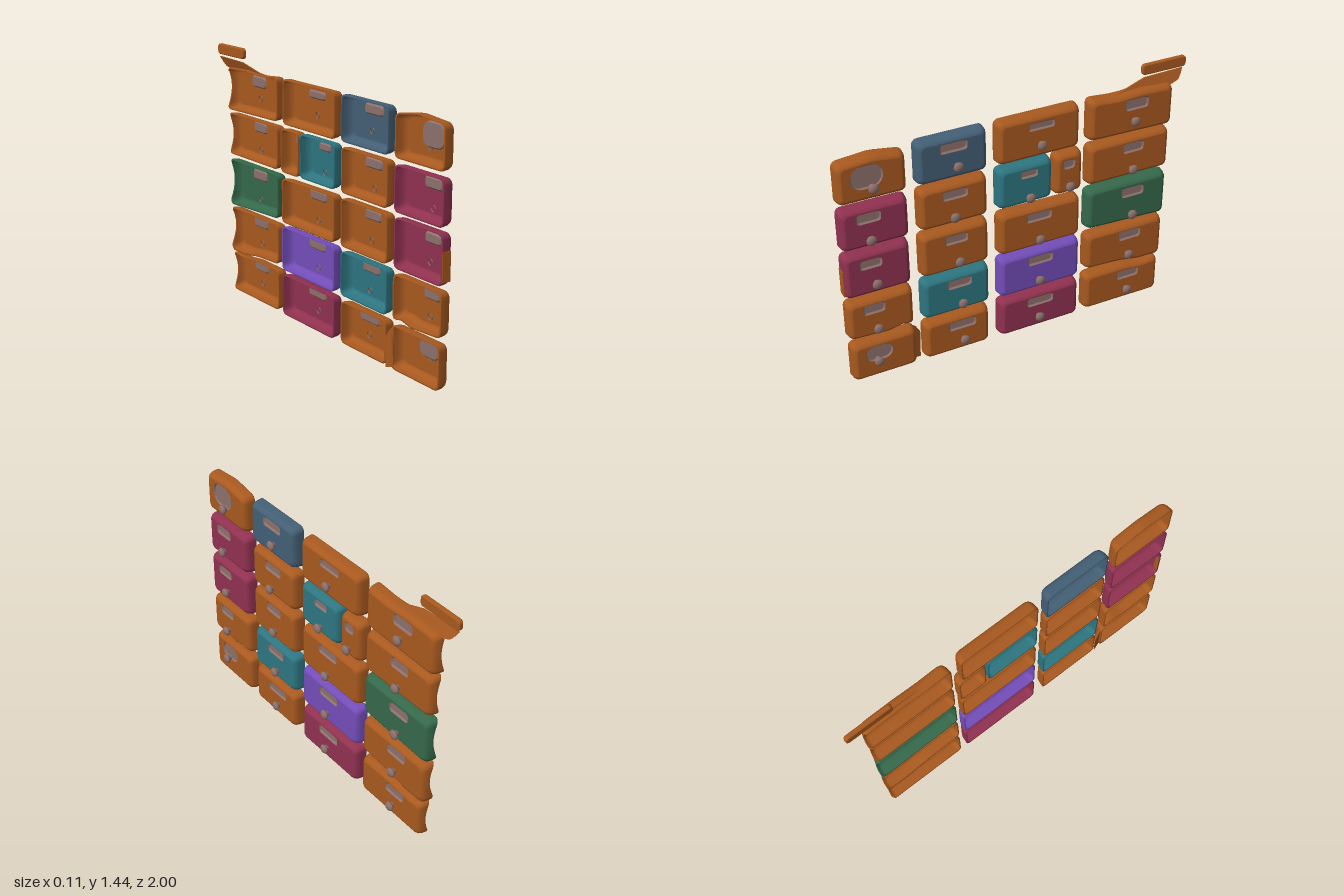
import * as THREE from 'three';

const mat = (name, color) => new THREE.MeshStandardMaterial({ name, color, side: THREE.DoubleSide });

// piecewise linear lookup in a short list of [u, y] points
function edge(list, u) {
  if (typeof list === 'number') return list;
  if (u <= list[0][0]) return list[0][1];
  for (let i = 1; i < list.length; i++) {
    const [a, ya] = list[i - 1], [b, yb] = list[i];
    if (u <= b) return ya + (yb - ya) * (u - a) / (b - a);
  }
  return list[list.length - 1][1];
}

// rounded rectangle outline, counter-clockwise, with points along the edges
function roundRect(u0, u1, y0, y1, r, along = 8) {
  const pts = [];
  const corners = [[u1 - r, y0 + r, -0.5], [u1 - r, y1 - r, 0], [u0 + r, y1 - r, 0.5], [u0 + r, y0 + r, 1]];
  corners.forEach(([cu, cy, start], k) => {
    for (let i = 0; i <= 5; i++) {
      const a = (start + i / 10) * Math.PI;
      pts.push(new THREE.Vector2(cu + r * Math.cos(a), cy + r * Math.sin(a)));
    }
    const last = pts[pts.length - 1];
    const [nu, ny, ns] = corners[(k + 1) % 4];
    const next = new THREE.Vector2(nu + r * Math.cos(ns * Math.PI), ny + r * Math.sin(ns * Math.PI));
    for (let i = 1; i < along; i++) pts.push(last.clone().lerp(next, i / along));
  });
  return pts;
}

// skin between successive closed loops of 3D points
function loft(loops) {
  const n = loops[0].length, index = [];
  for (let j = 0; j < loops.length - 1; j++) {
    for (let i = 0; i < n; i++) {
      const a = j * n + i, b = j * n + (i + 1) % n;
      index.push(a, b, b + n, a, b + n, a + n);
    }
  }
  const g = new THREE.BufferGeometry().setFromPoints(loops.flat());
  g.setIndex(index);
  g.computeVertexNormals();
  return g;
}

const FRONT = 0.02, BACK = -0.05;
// [depth, inset] from the open back rim to the front face
const PROFILE = [[BACK, 0.009], [BACK - 0.001, 0.002], [BACK + 0.004, 0], [-0.012, 0.003],
  [0.004, 0.008], [0.014, 0.016], [0.019, 0.024], [FRONT, 0.028]];

export function createModel() {
  const wood = mat('orange wood', 0xa8591f);
  const crimson = mat('crimson paint', 0x903150);
  const teal = mat('teal paint', 0x2d7580);
  const slate = mat('slate paint', 0x435f75);
  const green = mat('green paint', 0x35694b);
  const purple = mat('purple paint', 0x734db8);
  const metal = mat('dull metal', 0x8c706b);

  const model = new THREE.Group();
  model.name = 'drawerFronts';
  // parts are laid out facing +z and turned to face +x
  const wall = new THREE.Group();
  wall.name = 'drawerWall';
  wall.rotation.y = Math.PI / 2;
  model.add(wall);

  const add = (parent, name, geometry, material) => {
    const m = new THREE.Mesh(geometry, material);
    m.name = name;
    parent.add(m);
    return m;
  };

  // knob: short neck and rounded head
  const knobGeo = new THREE.LatheGeometry([[0.017, -0.006], [0.015, 0.008], [0.025, 0.014], [0.028, 0.021],
    [0.022, 0.029], [0.011, 0.033], [0, 0.034]].map(p => new THREE.Vector2(...p)), 16);
  knobGeo.rotateX(Math.PI / 2);

  function drawer(material, [u0, u1, bottom, top], [lu, ly, lw, lh], [ku, ky], scalloped) {
    const g = new THREE.Group();
    g.name = 'drawer';
    wall.add(g);
    const y0 = edge(bottom, u0), y1 = edge(top, u0);
    const outline = inset => roundRect(u0 + inset, u1 - inset, y0 + inset, y1 - inset, 0.03 - inset * 0.3)
      .map(p => {
        const b = edge(bottom, p.x), t = edge(top, p.x);
        return new THREE.Vector2(p.x, b + (t - b) * (p.y - y0) / (y1 - y0));
      });
    // hollow shell, open at the back; some outer side walls dip inward at the rim
    const loops = PROFILE.map(([z, inset]) => outline(inset).map(p => {
      const v = (p.y - y0) / (y1 - y0);
      const cut = scalloped && z < -0.03 && p.x > u1 - 0.012 ? 0.028 * Math.sin(Math.PI * THREE.MathUtils.clamp(v, 0, 1)) : 0;
      return new THREE.Vector3(p.x, p.y, z + cut);
    }));
    add(g, 'drawerShell', loft(loops), material);
    // front face with a sunken label recess
    const r = Math.min(lw, lh) * (lh > 0.09 ? 0.48 : 0.3);
    const hole = roundRect(lu - lw / 2, lu + lw / 2, ly - lh / 2, ly + lh / 2, r, 2);
    const floor = roundRect(lu - lw / 2 + 0.008, lu + lw / 2 - 0.008, ly - lh / 2 + 0.008, ly + lh / 2 - 0.008, r * 0.7, 2);
    const face = new THREE.Shape(outline(0.028));
    face.holes.push(new THREE.Path(hole));
    add(g, 'drawerFace', new THREE.ShapeGeometry(face).translate(0, 0, FRONT), material);
    const lift = (pts, z) => pts.map(p => new THREE.Vector3(p.x, p.y, z));
    add(g, 'labelRim', loft([lift(hole, FRONT), lift(floor, 0.011)]), metal);
    add(g, 'labelPlate', new THREE.ShapeGeometry(new THREE.Shape(floor)).translate(0, 0, 0.011), metal);
    add(g, 'knob', knobGeo, metal).position.set(ku, ky, FRONT);
  }

  // top row
  drawer(wood, [-0.995, -0.628, 1.095, [[-0.995, 1.325], [-0.8, 1.342], [-0.63, 1.315]]], [-0.84, 1.235, 0.17, 0.13], [-0.815, 1.172]);
  drawer(slate, [-0.577, -0.19, 1.095, 1.34], [-0.38, 1.28, 0.15, 0.055], [-0.365, 1.172]);
  drawer(wood, [-0.135, 0.34, 1.092, 1.34], [0.11, 1.278, 0.15, 0.045], [0.105, 1.172]);
  drawer(wood, [0.395, 0.905, [[0.395, 1.095], [0.905, 1.084]], [[0.395, 1.34], [0.56, 1.325], [0.7, 1.335], [0.905, 1.325]]],
    [0.675, 1.265, 0.14, 0.065], [0.66, 1.172], true);
  // second row
  drawer(crimson, [-0.995, -0.628, 0.828, 1.067], [-0.845, 1.005, 0.13, 0.06], [-0.845, 0.882]);
  drawer(wood, [-0.575, -0.192, 0.828, 1.07], [-0.38, 1.008, 0.14, 0.055], [-0.39, 0.882]);
  drawer(teal, [-0.135, 0.182, 0.828, 1.07], [0.04, 1.012, 0.1, 0.045], [0.04, 0.876]);
  drawer(wood, [0.195, 0.362, 0.825, 1.07], [0.275, 1.007, 0.07, 0.055], [0.275, 0.88]);
  drawer(wood, [0.395, 0.895, 0.828, 1.07], [0.665, 1.008, 0.13, 0.06], [0.66, 0.88], true);
  // third row
  drawer(crimson, [-0.995, -0.632, 0.543, 0.805], [-0.85, 0.735, 0.12, 0.055], [-0.83, 0.615]);
  drawer(wood, [-0.577, -0.19, 0.543, 0.803], [-0.38, 0.74, 0.13, 0.055], [-0.37, 0.605]);
  drawer(wood, [-0.132, 0.355, 0.542, [[-0.132, 0.8], [0.355, 0.792]]], [0.1, 0.737, 0.15, 0.055], [0.1, 0.6]);
  drawer(green, [0.395, 0.893, [[0.395, 0.55], [0.893, 0.527]], 0.8], [0.675, 0.73, 0.14, 0.06], [0.67, 0.592], true);
  // fourth row
  drawer(wood, [-0.995, -0.628, [[-0.995, 0.285], [-0.77, 0.272], [-0.7, 0.29], [-0.63, 0.275]], 0.518], [-0.85, 0.457, 0.12, 0.06], [-0.84, 0.338]);
  drawer(teal, [-0.577, -0.19, 0.277, 0.52], [-0.37, 0.46, 0.14, 0.055], [-0.36, 0.336]);
  drawer(purple, [-0.132, 0.357, 0.27, 0.522], [0.11, 0.46, 0.15, 0.055], [0.1, 0.336]);
  drawer(wood, [0.395, 0.887, [[0.395, 0.287], [0.62, 0.275], [0.74, 0.252], [0.887, 0.25]], 0.515], [0.67, 0.452, 0.14, 0.06], [0.66, 0.33], true);
  // bottom row
  drawer(wood, [-0.988, -0.622, 0.013, 0.25], [-0.84, 0.17, 0.15, 0.095], [-0.85, 0.128]);
  drawer(wood, [-0.577, -0.195, 0.015, 0.25], [-0.36, 0.188, 0.16, 0.055], [-0.355, 0.093]);
  drawer(crimson, [-0.132, 0.355, 0.01, 0.247], [0.11, 0.187, 0.16, 0.055], [0.1, 0.09]);
  drawer(wood, [0.395, 0.875, 0.015, [[0.395, 0.25], [0.65, 0.252], [0.76, 0.236], [0.875, 0.247]]], [0.67, 0.186, 0.14, 0.055], [0.66, 0.09], true);

  // thin flanges along the back plane, leaning by height
  function flange(name, points, lean) {
    const g = new THREE.ExtrudeGeometry(new THREE.Shape(points.map(p => new THREE.Vector2(...p))), { depth: 0.008, bevelEnabled: false });
    const p = g.attributes.position;
    for (let i = 0; i < p.count; i++) p.setZ(i, p.getZ(i) + lean(p.getX(i), p.getY(i)));
    g.computeVertexNormals();
    add(wall, name, g, wood);
  }
  flange('upperFlange', [[0.56, 1.322], [0.9, 1.31], [0.95, 1.325], [0.97, 1.35], [0.985, 1.378], [0.75, 1.372], [0.64, 1.342]],
    (u, y) => -0.022 - 0.4 * (y - 1.31));
  flange('cornerFlange', [[-0.627, 0.02], [-0.585, 0.008], [-0.58, 0.17], [-0.605, 0.215], [-0.627, 0.235]],
    u => -0.04 - 0.3 * (u + 0.627));

  // loose strip at the top corner
  const strip = new THREE.Shape(roundRect(0.738, 0.992, 1.397, 1.443, 0.012, 2));
  add(wall, 'topStrip', new THREE.ExtrudeGeometry(strip, { depth: 0.012, bevelThickness: 0.007, bevelSize: 0.007, bevelSegments: 3 })
    .translate(0, 0, -0.047), wood);

  // bare wood patch on the outer side of one painted drawer
  add(wall, 'bareSide', new THREE.BoxGeometry(0.005, 0.15, 0.05), wood).position.set(-0.995, 0.64, -0.024);
  return model;
}
